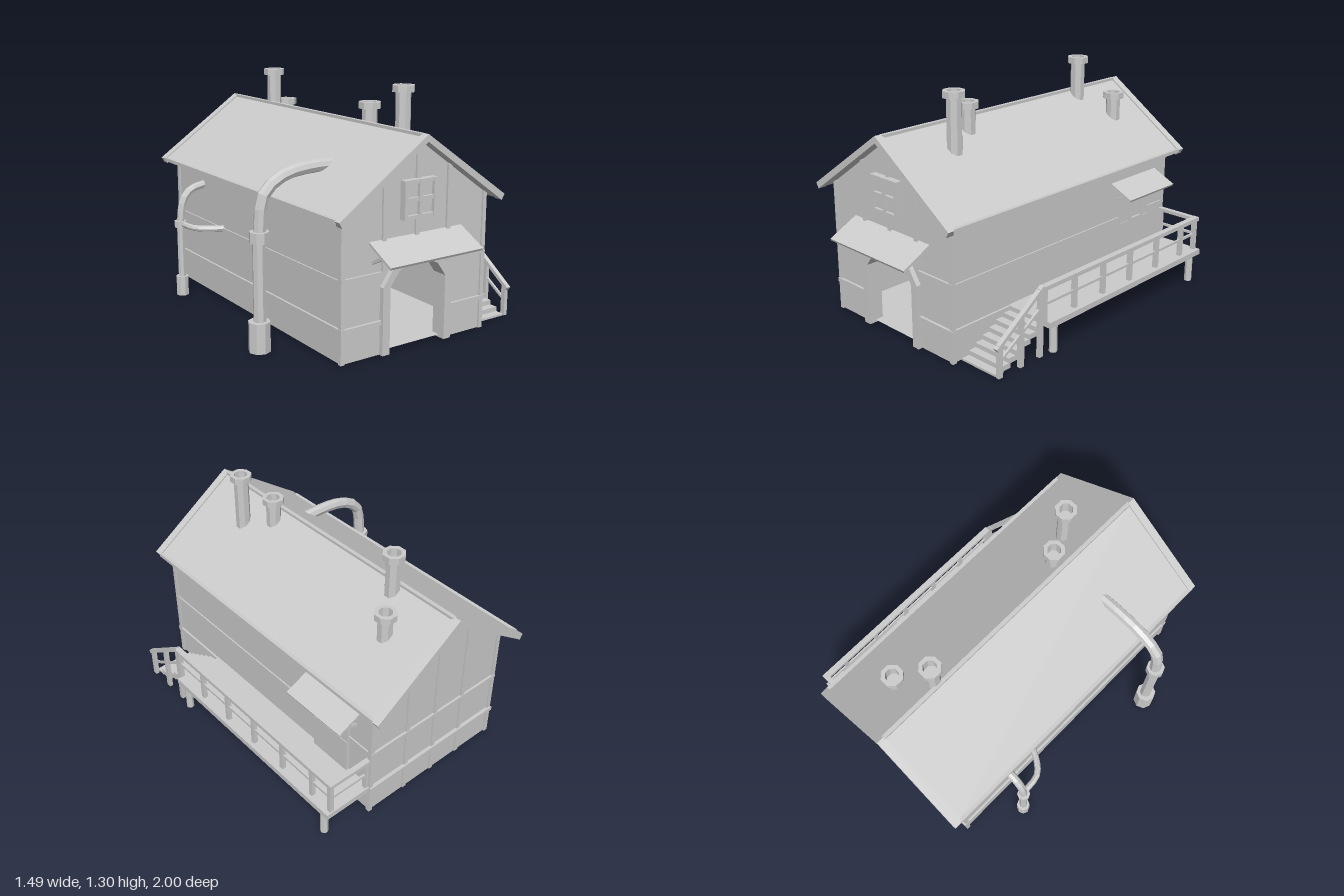
import * as THREE from 'three';

const mat = new THREE.MeshStandardMaterial({ color: 0xcccccc, flatShading: true, side: THREE.DoubleSide });
const CX = -0.01; // centre line of the house
const V = (x, y, z) => new THREE.Vector3(x, y, z);

export function createModel() {
  const root = new THREE.Group();
  root.name = 'workshopHouse';

  const add = (name, geo, parent = root) => {
    const m = new THREE.Mesh(geo, mat);
    m.name = name;
    parent.add(m);
    return m;
  };
  const group = (name) => {
    const g = new THREE.Group();
    g.name = name;
    root.add(g);
    return g;
  };
  // box given by its limits on each axis
  const box = (name, x0, x1, y0, y1, z0, z1, parent) => {
    const m = add(name, new THREE.BoxGeometry(x1 - x0, y1 - y0, z1 - z0), parent);
    m.position.set((x0 + x1) / 2, (y0 + y1) / 2, (z0 + z1) / 2);
    return m;
  };
  // straight beam between two points
  const beam = (name, a, b, w, h, parent) => {
    const m = add(name, new THREE.BoxGeometry(w, h, a.distanceTo(b)), parent);
    m.position.copy(a).lerp(b, 0.5);
    m.lookAt(b);
    return m;
  };
  const poly = (pts) => new THREE.Shape(pts.map(([x, y]) => new THREE.Vector2(x, y)));
  const slab = (name, shape, z0, z1, parent) => {
    const m = add(name, new THREE.ExtrudeGeometry(shape, { depth: z1 - z0, bevelEnabled: false }), parent);
    m.position.z = z0;
    return m;
  };
  const cyl = (name, x, z, r, y0, y1, parent, sides = 8) => {
    const m = add(name, new THREE.CylinderGeometry(r, r, y1 - y0, sides), parent);
    m.position.set(x, (y0 + y1) / 2, z);
    return m;
  };
  // bent pipe with straight runs joined at the given points
  const pipe = (name, pts, r, parent) => {
    const path = new THREE.CurvePath();
    for (let i = 1; i < pts.length; i++) path.add(new THREE.LineCurve3(pts[i - 1], pts[i]));
    const smooth = new THREE.CatmullRomCurve3(pts, false, 'centripetal');
    return add(name, new THREE.TubeGeometry(pts.length > 2 ? smooth : path, pts.length * 2, r, 8), parent);
  };
  // symmetric arch outline from half-width points, starting at the ground
  const arch = (half) => [
    ...half.map(([x, y]) => [CX + x, y]),
    ...half.slice().reverse().map(([x, y]) => [CX - x, y]),
  ];

  // Walls: gabled ends and long sides round a hollow inside
  const walls = group('walls');
  const inner = [[0.178, 0.01], [0.178, 0.36], [0.125, 0.435], [0.06, 0.465]];
  const outer = [[0.2225, 0.01], [0.2225, 0.365], [0.15, 0.47], [0.07, 0.505]];
  const gable = [[-0.455, 0.77], [-0.455, 0.01]];
  const gableEnd = [[0.455, 0.01], [0.455, 0.77], [0, 1.085]];
  const shift = (pts) => pts.map(([x, y]) => [x + CX, y]);
  slab('frontWall', poly([...shift(gable), ...arch(inner).reverse(), ...shift(gableEnd)]), 0.81, 0.83, walls);
  slab('backWall', poly(shift([...gable, ...gableEnd])), -0.895, -0.875, walls);
  for (const s of [-1, 1]) {
    const x = CX + s * 0.445;
    box('sideWall', x - 0.01, x + 0.01, 0.01, 0.77, -0.88, 0.82, walls);
  }
  const floor = poly([[-0.455, 0.88], [0.435, 0.88], [0.435, -0.7], [0.2, -0.82], [-0.22, -0.82], [-0.455, -0.7]]);
  add('floor', new THREE.ShapeGeometry(floor), walls).rotation.x = -Math.PI / 2;
  walls.children.at(-1).position.y = 0.025;

  // Door frame
  slab('doorFrame', poly([...arch(outer), ...arch(inner).reverse()]), 0.77, 0.857, walls);

  // Timber framing: corner posts, bands and gable studs
  const timber = group('timberFrame');
  for (const s of [-1, 1]) {
    const x = CX + s * 0.453;
    for (const z of [0.828, -0.893]) box('cornerPost', x - 0.012, x + 0.012, 0.01, 0.765, z - 0.012, z + 0.012, timber);
    box('sideBandLow', x - 0.014, x + 0.014, 0.17, 0.193, -0.915, 0.845, timber);
    box('sideBandHigh', x - 0.01, x + 0.01, 0.42, 0.438, -0.9, 0.835, timber);
    const [a, b] = [CX + s * 0.21, CX + s * 0.465];
    box('frontBandLow', Math.min(a, b), Math.max(a, b), 0.17, 0.193, 0.825, 0.845, timber);
    box('frontBandHigh', Math.min(a, b), Math.max(a, b), 0.427, 0.445, 0.825, 0.842, timber);
    box('frontStud', CX + s * 0.205 - 0.012, CX + s * 0.205 + 0.012, 0.435, 0.938, 0.825, 0.842, timber);
  }
  box('frontCentreStud', CX - 0.012, CX + 0.012, 0.5, 1.07, 0.825, 0.842, timber);
  box('backBandLow', CX - 0.465, CX + 0.465, 0.17, 0.193, -0.915, -0.89, timber);
  box('backBandHigh', CX - 0.465, CX + 0.465, 0.42, 0.438, -0.908, -0.89, timber);
  for (const x of [-0.205, 0, 0.205])
    box('backStud', CX + x - 0.012, CX + x + 0.012, 0.015, x ? 0.938 : 1.07, -0.905, -0.87, timber);

  // Roof: chevron slab with thicker edge boards
  const roof = group('roof');
  const chevron = (w, top, drop, t) => poly(shift([
    [-w, top - drop], [0, top], [w, top - drop], [w - 0.018, top - drop - t * 0.8], [0, top - t], [-w + 0.018, top - drop - t * 0.8],
  ]));
  slab('roofSlopes', chevron(0.515, 1.105, 0.355, 0.025), -0.99, 0.9, roof);
  slab('frontBargeBoard', chevron(0.525, 1.115, 0.363, 0.038), 0.862, 0.908, roof);
  slab('backBargeBoard', chevron(0.525, 1.115, 0.363, 0.038), -1, -0.952, roof);
  for (const s of [-1, 1])
    beam('eaveBoard', V(CX + s * 0.513, 0.748, -0.96), V(CX + s * 0.513, 0.748, 0.87), 0.022, 0.02, roof);
  box('ridgeBoard', CX - 0.011, CX + 0.011, 1.085, 1.113, -0.96, 0.87, roof);

  // Gable window
  const win = group('gableWindow');
  box('windowPane', -0.11, 0.085, 0.695, 0.88, 0.825, 0.85, win);
  for (const x of [-0.105, CX - 0.003, 0.08]) box('windowUpright', x - 0.01, x + 0.01, 0.69, 0.888, 0.83, 0.868, win);
  for (const y of [0.7, 0.789, 0.878]) box('windowRail', -0.115, 0.09, y - 0.01, y + 0.01, 0.83, 0.866, win);

  // Awning over the front door
  const awning = group('frontAwning');
  beam('awningBoard', V(-0.007, 0.6, 0.825), V(-0.007, 0.512, 0.997), 0.592, 0.014, awning);
  for (const x of [-0.275, 0.25]) beam('awningBrace', V(x, 0.495, 0.825), V(x, 0.55, 0.93), 0.018, 0.016, awning);

  // Side door with its window and awning
  const side = group('sideDoor');
  box('doorPanel', 0.44, 0.462, 0.19, 0.61, -0.735, -0.47, side);
  box('doorLeaf', 0.44, 0.466, 0.19, 0.4, -0.735, -0.475, side);
  for (const z of [-0.556, -0.659]) box('doorWindowUpright', 0.45, 0.475, 0.4, 0.535, z - 0.007, z + 0.007, side);
  for (const y of [0.407, 0.528]) box('doorWindowRail', 0.45, 0.475, y - 0.007, y + 0.007, -0.665, -0.55, side);
  beam('sideAwningBoard', V(0.44, 0.653, -0.605), V(0.583, 0.585, -0.605), 0.41, 0.014, side);
  for (const z of [-0.43, -0.78]) beam('sideAwningBrace', V(0.44, 0.552, z), V(0.55, 0.595, z), 0.016, 0.016, side);

  // Deck with posts and railing
  const deck = group('deck');
  box('deckFloor', 0.44, 0.74, 0.163, 0.195, -0.9, 0.438, deck);
  for (const z of [0.378, -0.84]) cyl('deckLeg', 0.708, z, 0.022, 0.005, 0.17, deck);
  for (const z of [0.445, 0.212, -0.022, -0.256, -0.5, -0.74, -0.88])
    box('railPost', 0.69, 0.715, 0.19, 0.375, z - 0.012, z + 0.012, deck);
  box('topRail', 0.685, 0.72, 0.37, 0.393, -0.9, 0.46, deck);
  box('middleRail', 0.697, 0.708, 0.283, 0.297, -0.88, 0.45, deck);
  box('endTopRail', 0.45, 0.71, 0.372, 0.392, -0.9, -0.87, deck);
  box('endMiddleRail', 0.45, 0.71, 0.283, 0.297, -0.89, -0.878, deck);
  box('endPost', 0.455, 0.475, 0.19, 0.375, -0.892, -0.868, deck);

  // Stairs down to the front
  const stairs = group('stairs');
  for (let i = 0; i < 7; i++) {
    const z = 0.435 + i * 0.048;
    const y = 0.17 - i * 0.0255;
    box('step', 0.445, 0.68, Math.max(0.005, y - 0.03), y, z - 0.012, z + 0.048, stairs);
  }
  for (const [z, y] of [[0.47, 0.385], [0.61, 0.285], [0.76, 0.185]])
    box('stairPost', 0.688, 0.71, 0.005, y, z - 0.014, z + 0.014, stairs);
  beam('stairRail', V(0.7, 0.39, 0.455), V(0.7, 0.163, 0.785), 0.026, 0.02, stairs);
  beam('stairMiddleRail', V(0.7, 0.285, 0.455), V(0.7, 0.095, 0.755), 0.012, 0.014, stairs);

  // Chimneys: hollow capped pipes
  for (const [x, z, top] of [[0.2, -0.705, 1.1], [0.03, -0.575, 1.305], [0.06, 0.345, 1.205], [0.145, 0.52, 1.305]]) {
    const y0 = 1.06 - Math.abs(x + 0.05 - CX) * 0.69;
    const profile = [[0.042, y0], [0.042, top - 0.036], [0.061, top - 0.036], [0.061, top], [0.038, top], [0.038, top - 0.08], [0, top - 0.08]];
    const m = add('chimney', new THREE.LatheGeometry(profile.map(([r, y]) => new THREE.Vector2(r, y)), 8));
    m.position.set(x, 0, z);
    m.rotation.y = Math.PI / 8;
  }

  // Large bent pipe into the roof
  const big = group('largePipe');
  cyl('largePipeBase', -0.687, 0.43, 0.058, 0, 0.16, big);
  cyl('largePipeStem', -0.683, 0.43, 0.034, 0.15, 0.58, big);
  cyl('largePipeCollar', -0.68, 0.43, 0.052, 0.57, 0.627, big);
  pipe('largePipeBend', [V(-0.68, 0.6, 0.43), V(-0.65, 0.81, 0.43), V(-0.545, 0.888, 0.43), V(-0.4, 0.915, 0.43), V(-0.2, 0.915, 0.43)], 0.033, big);

  // Small bent pipe into the side wall, with a branch
  const small = group('smallPipe');
  cyl('smallPipeBase', -0.622, -0.58, 0.037, 0, 0.115, small);
  cyl('smallPipeStem', -0.622, -0.58, 0.022, 0.1, 0.42, small);
  cyl('smallPipeCollar', -0.622, -0.58, 0.036, 0.415, 0.452, small);
  pipe('smallPipeBend', [V(-0.622, 0.43, -0.58), V(-0.6, 0.57, -0.58), V(-0.55, 0.63, -0.58), V(-0.445, 0.655, -0.58)], 0.023, small);
  pipe('smallPipeBranch', [V(-0.615, 0.433, -0.57), V(-0.6, 0.433, -0.45), V(-0.54, 0.433, -0.39), V(-0.445, 0.433, -0.34)], 0.018, small);

  return root;
}
